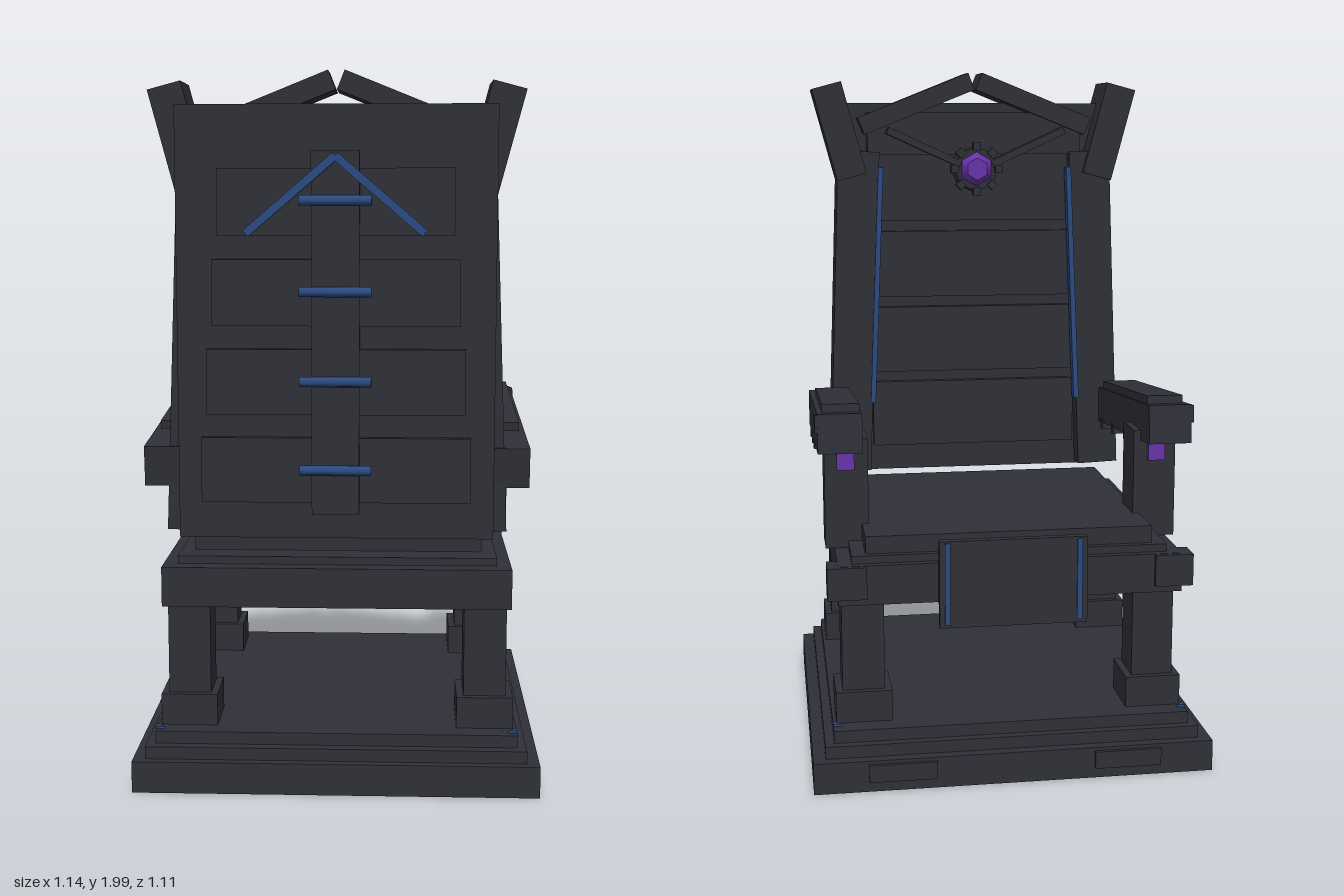
import * as THREE from 'three';

export function createModel() {
  const root = new THREE.Group();
  const mat = (name, color) => {
    const m = new THREE.MeshStandardMaterial({ color });
    m.name = name;
    return m;
  };
  const stone = mat('dark stone', 0x2f2f38);
  const blue = mat('blue inlay', 0x2b4a80);
  const purple = mat('purple gem', 0x6634a8);

  const add = (name, geo, material, x = 0, y = 0, z = 0) => {
    const m = new THREE.Mesh(geo, material);
    m.name = name;
    m.position.set(x, y, z);
    root.add(m);
    return m;
  };
  // Box given by its extents on each axis
  const box = (name, x0, x1, y0, y1, z0, z1, material = stone) =>
    add(name, new THREE.BoxGeometry(Math.abs(x1 - x0), y1 - y0, z1 - z0), material,
      (x0 + x1) / 2, (y0 + y1) / 2, (z0 + z1) / 2);
  // Box whose long axis runs between two points in the xy plane
  const bar = (name, ax, ay, bx, by, width, z0, z1, material = stone) => {
    const len = Math.hypot(bx - ax, by - ay);
    const m = add(name, new THREE.BoxGeometry(len, width, z1 - z0), material,
      (ax + bx) / 2, (ay + by) / 2, (z0 + z1) / 2);
    m.rotation.z = Math.atan2(by - ay, bx - ax);
    return m;
  };

  // Stepped plinth
  box('plinthLower', -0.57, 0.57, 0, 0.09, -0.545, 0.555);
  box('plinthMiddle', -0.535, 0.535, 0.09, 0.125, -0.515, 0.53);
  box('plinthUpper', -0.51, 0.51, 0.125, 0.16, -0.49, 0.5);

  // Seat
  box('seatFrame', -0.49, 0.49, 0.515, 0.628, -0.463, 0.473);
  box('seatLedge', -0.45, 0.45, 0.628, 0.65, -0.44, 0.425);
  box('seatSlab', -0.41, 0.41, 0.65, 0.7, -0.42, 0.345);
  box('apron', -0.21, 0.21, 0.445, 0.695, -0.487, -0.463);

  // Backrest board with raised panels on both faces
  box('backBoard', -0.435, 0.435, 0.716, 1.9, 0.355, 0.473);
  box('lintel', -0.34, 0.34, 1.74, 1.87, 0.3, 0.36);
  for (let i = 0; i < 4; i++) {
    const y = 0.82 + i * 0.2435, w = 0.37 - i * 0.0165;
    box('rearPanel', -w, w, y, y + 0.18, 0.47, 0.495);
    box('frontSlat', -0.33, 0.33, y - 0.02, y + 0.19, 0.33, 0.36);
    const band = add('spineBand', new THREE.CylinderGeometry(0.014, 0.014, 0.195, 8), blue,
      0, 0.914 + i * 0.2435, 0.517);
    band.rotation.z = Math.PI / 2;
  }
  box('spine', -0.065, 0.065, 0.79, 1.775, 0.47, 0.513);

  for (const s of [-1, 1]) {
    // Legs, feet and corner inlays
    for (const f of [-1, 1]) {
      const zc = 0.006 + f * 0.357;
      box('foot', s * 0.34, s * 0.5, 0.16, 0.25, zc - 0.08, zc + 0.08);
      box('leg', s * 0.36, s * 0.48, 0.25, 0.52, zc - 0.061, zc + 0.061);
      const x = s * 0.51, z = f > 0 ? 0.48 : -0.455;
      const tri = new THREE.Shape([
        new THREE.Vector2(0, 0), new THREE.Vector2(-s * 0.025, 0), new THREE.Vector2(0, f * 0.025)]);
      add('cornerInlay', new THREE.ExtrudeGeometry(tri, { depth: 0.007, bevelEnabled: false }),
        blue, x, 0.16, z).rotation.x = -Math.PI / 2;
    }
    box('plinthTile', s * 0.225, s * 0.416, 0.03, 0.08, -0.555, -0.54);
    box('seatCornerBlock', s * 0.41, s * 0.52, 0.535, 0.627, -0.477, -0.4);
    box('apronStripe', s * 0.18, s * 0.195, 0.455, 0.69, -0.491, -0.484, blue);

    // Leaning stiles, finials and gable
    const tilt = (x) => s * x;
    bar('stile', tilt(0.408), 0.73, tilt(0.368), 1.75, 0.13, 0.29, 0.447);
    bar('stileInlay', tilt(0.333), 0.95, tilt(0.3), 1.7, 0.016, 0.284, 0.32, blue);
    bar('finial', tilt(0.391), 1.67, tilt(0.466), 1.952, 0.094, 0.272, 0.442);
    bar('gableBeam', tilt(0.36), 1.827, tilt(0.012), 1.966, 0.056, 0.285, 0.435);
    bar('crestBar', tilt(0.05), 1.71, tilt(0.28), 1.815, 0.022, 0.255, 0.3);
    bar('rearChevron', tilt(0.24), 1.557, 0, 1.762, 0.022, 0.51, 0.53, blue);

    // Armrest: tilted beam, pad, front cap and ribs beneath
    const arm = new THREE.Group();
    arm.name = 'armrest';
    arm.position.set(s * 0.4725, 0.948, 0.04);
    arm.rotation.x = 0.088;
    root.add(arm);
    const part = (name, w, h, d, x, y, z) => {
      const m = new THREE.Mesh(new THREE.BoxGeometry(w, h, d), stone);
      m.name = name;
      m.position.set(s * x, y, z);
      arm.add(m);
    };
    part('armBeam', 0.125, 0.112, 0.825, 0, 0, 0);
    part('armPad', 0.105, 0.026, 0.57, -0.005, 0.067, -0.085);
    part('armKnuckle', 0.03, 0.05, 0.05, 0.055, 0.028, -0.385);
    for (const z of [-0.115, 0.045, 0.2]) part('armRib', 0.13, 0.03, 0.028, 0, -0.06, z);

    // Arm post with gem plate
    box('armPost', s * 0.39, s * 0.515, 0.63, 0.95, -0.275, -0.145);
    box('postGem', s * 0.43, s * 0.48, 0.862, 0.925, -0.292, -0.27, purple);
  }

  // Crest gem in a pronged round setting
  const facing = (name, geo, material, z) => {
    const m = add(name, geo, material, 0, 1.695, z);
    m.rotation.x = -Math.PI / 2;
    return m;
  };
  facing('gemSetting', new THREE.CylinderGeometry(0.07, 0.075, 0.1, 8), stone, 0.31);
  for (let i = 0; i < 8; i++) {
    const a = i * Math.PI / 4;
    const prong = add('gemProng', new THREE.BoxGeometry(0.024, 0.024, 0.03), stone,
      Math.cos(a) * 0.07, 1.695 + Math.sin(a) * 0.07, 0.262);
    prong.rotation.z = a;
  }
  facing('crestGem', new THREE.CylinderGeometry(0.035, 0.06, 0.035, 6).toNonIndexed(), purple, 0.252);

  return root;
}
